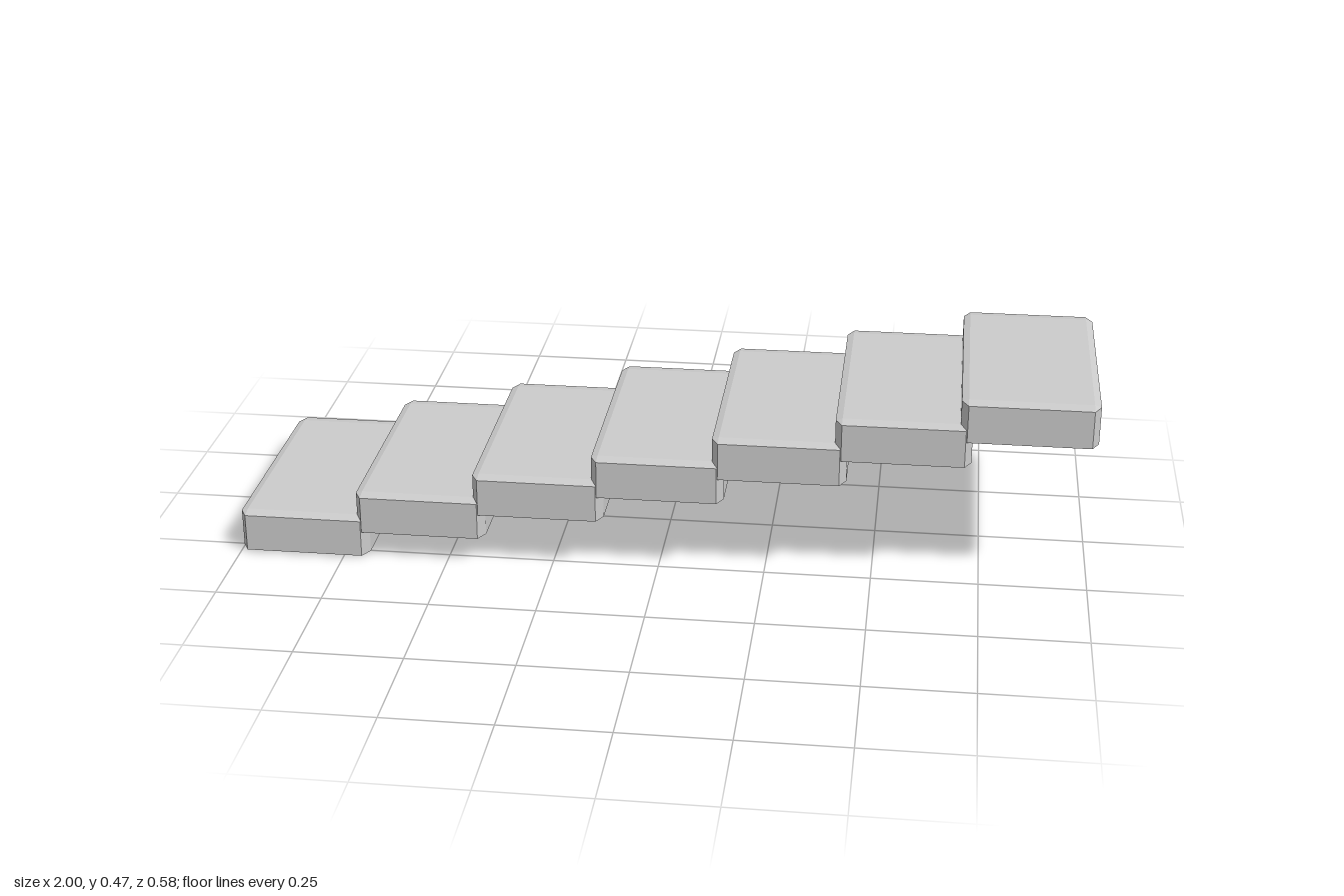
import * as THREE from 'three';
import { ConvexGeometry } from 'three/addons/geometries/ConvexGeometry.js';

const COUNT = 7;
const LENGTH = 0.31, HEIGHT = 0.1, DEPTH = 0.58; // one slab
const TOTAL_LENGTH = 2, TOTAL_HEIGHT = 0.472;
const BEVEL = 0.05; // bevel as a share of each dimension

// Box with every edge and corner chamfered in proportion to its size
function chamferedBox(w, h, d) {
  const points = [];
  const inner = 0.5 - BEVEL;
  for (const sx of [-1, 1]) for (const sy of [-1, 1]) for (const sz of [-1, 1]) {
    for (let axis = 0; axis < 3; axis++) {
      const p = [inner, inner, inner];
      p[axis] = 0.5;
      points.push(new THREE.Vector3(sx * p[0] * w, sy * p[1] * h, sz * p[2] * d));
    }
  }
  return new ConvexGeometry(points);
}

export function createModel() {
  const group = new THREE.Group();
  group.name = 'staircase';
  const material = new THREE.MeshStandardMaterial({ color: 0xcccccc, flatShading: true });
  const geometry = chamferedBox(LENGTH, HEIGHT, DEPTH);

  // Overlapping slabs climbing towards +x
  const run = (TOTAL_LENGTH - LENGTH) / (COUNT - 1);
  const rise = (TOTAL_HEIGHT - HEIGHT) / (COUNT - 1);
  for (let i = 0; i < COUNT; i++) {
    const step = new THREE.Mesh(geometry, material);
    step.name = `step${i + 1}`;
    step.position.set((i - (COUNT - 1) / 2) * run, HEIGHT / 2 + i * rise, 0);
    group.add(step);
  }
  return group;
}
